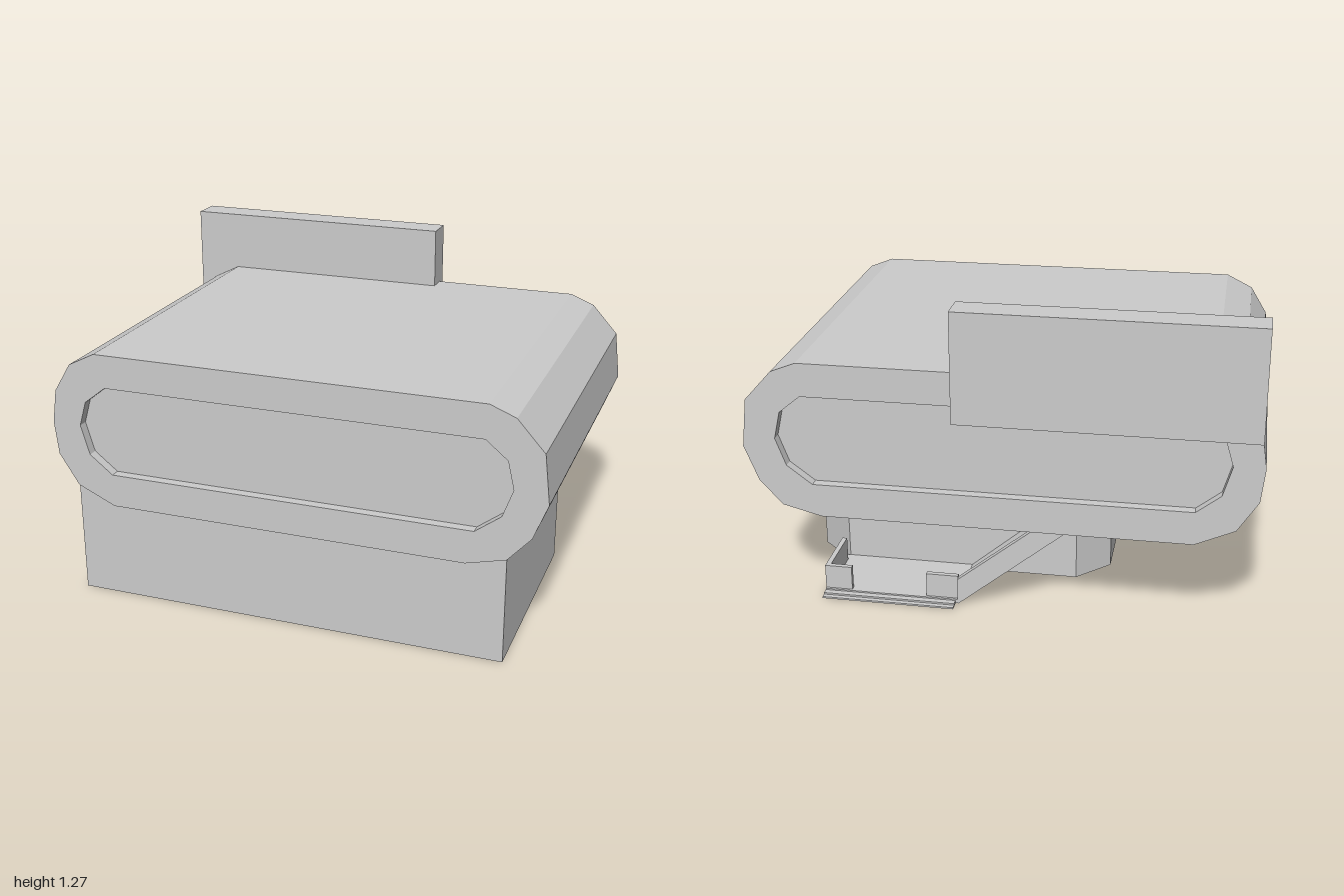
import * as THREE from 'three';

const mat = new THREE.MeshStandardMaterial({ color: 0xcccccc, flatShading: true, side: THREE.DoubleSide });

const toPoints = (list) => list.map(([a, b]) => new THREE.Vector2(a, b));

export function createModel() {
  const group = new THREE.Group();

  const add = (name, geometry) => {
    const mesh = new THREE.Mesh(geometry, mat);
    mesh.name = name;
    group.add(mesh);
    return mesh;
  };
  // Box given by its limits on each axis
  const box = (name, x0, x1, y0, y1, z0, z1) =>
    add(name, new THREE.BoxGeometry(x1 - x0, y1 - y0, z1 - z0))
      .position.set((x0 + x1) / 2, (y0 + y1) / 2, (z0 + z1) / 2);
  // Outline in x and y, extruded between two z limits
  const prism = (name, shape, z0, z1) => {
    const g = new THREE.ExtrudeGeometry(shape, { depth: z1 - z0, bevelEnabled: false });
    add(name, g.translate(0, 0, z0));
  };

  // Upper storey: faceted rounded tube with a recessed panel at each end
  const outer = toPoints([
    [0.7, 0.39], [0.855, 0.43], [0.945, 0.53], [1, 0.67], [0.978, 0.865], [0.87, 0.985], [0.77, 1.025],
    [-0.8, 1.025], [-0.91, 0.97], [-0.98, 0.855], [-1, 0.72], [-0.985, 0.585], [-0.905, 0.46], [-0.75, 0.39],
  ]);
  const inner = toPoints([
    [0.73, 0.525], [0.83, 0.6], [0.87, 0.71], [0.845, 0.82], [0.76, 0.89],
    [-0.76, 0.89], [-0.85, 0.82], [-0.88, 0.72], [-0.845, 0.6], [-0.75, 0.525],
  ]);
  const shell = new THREE.Shape(outer);
  shell.holes.push(new THREE.Path(inner));
  prism('upperShell', shell, -0.695, 0.74);
  prism('endPanels', new THREE.Shape(inner), -0.655, 0.7);

  // Ground floor: walls around a plan outline, open below
  const plan = [
    [-0.905, 0.735], [0.855, 0.735], [0.855, -0.19], [0.71, -0.32], [-0.26, -0.32],
    [-0.39, -0.19], [-0.39, 0.3], [-0.76, 0.3], [-0.905, 0.42],
  ];
  const wallTop = 0.46;
  const pos = [];
  plan.forEach(([ax, az], i) => {
    const [bx, bz] = plan[(i + 1) % plan.length];
    pos.push(ax, 0, az, bx, 0, bz, bx, wallTop, bz);
    pos.push(ax, 0, az, bx, wallTop, bz, ax, wallTop, az);
  });
  const walls = new THREE.BufferGeometry();
  walls.setAttribute('position', new THREE.Float32BufferAttribute(pos, 3));
  walls.computeVertexNormals();
  add('groundFloorWalls', walls);

  // Sign board on the back
  box('signBoard', -0.985, 0.165, 0.835, 1.275, -0.74, -0.615);

  // Entrance porch with steps and low parapets
  box('porchFloor', 0.18, 0.73, 0.003, 0.02, -0.615, -0.32);
  box('porchUpperStep', 0.19, 0.73, 0.003, 0.014, -0.64, -0.615);
  box('porchLowerStep', 0.19, 0.73, 0, 0.007, -0.66, -0.615);
  box('porchSideParapet', 0.71, 0.73, 0.02, 0.12, -0.6, -0.36);
  box('porchLeftParapet', 0.62, 0.73, 0.02, 0.12, -0.605, -0.585);
  box('porchRightParapet', 0.18, 0.31, 0.02, 0.12, -0.605, -0.585);

  // Sloping stair from the porch up into the upper storey, with an outer rail
  const slope = (height) => new THREE.Shape(toPoints([
    [0.18, 0], [0.18, height], [-0.29 + height, 0.4], [-0.31, 0.4],
  ]));
  prism('stairRamp', slope(0.02), -0.585, -0.32);
  prism('stairRail', slope(0.11), -0.615, -0.585);

  return group;
}
